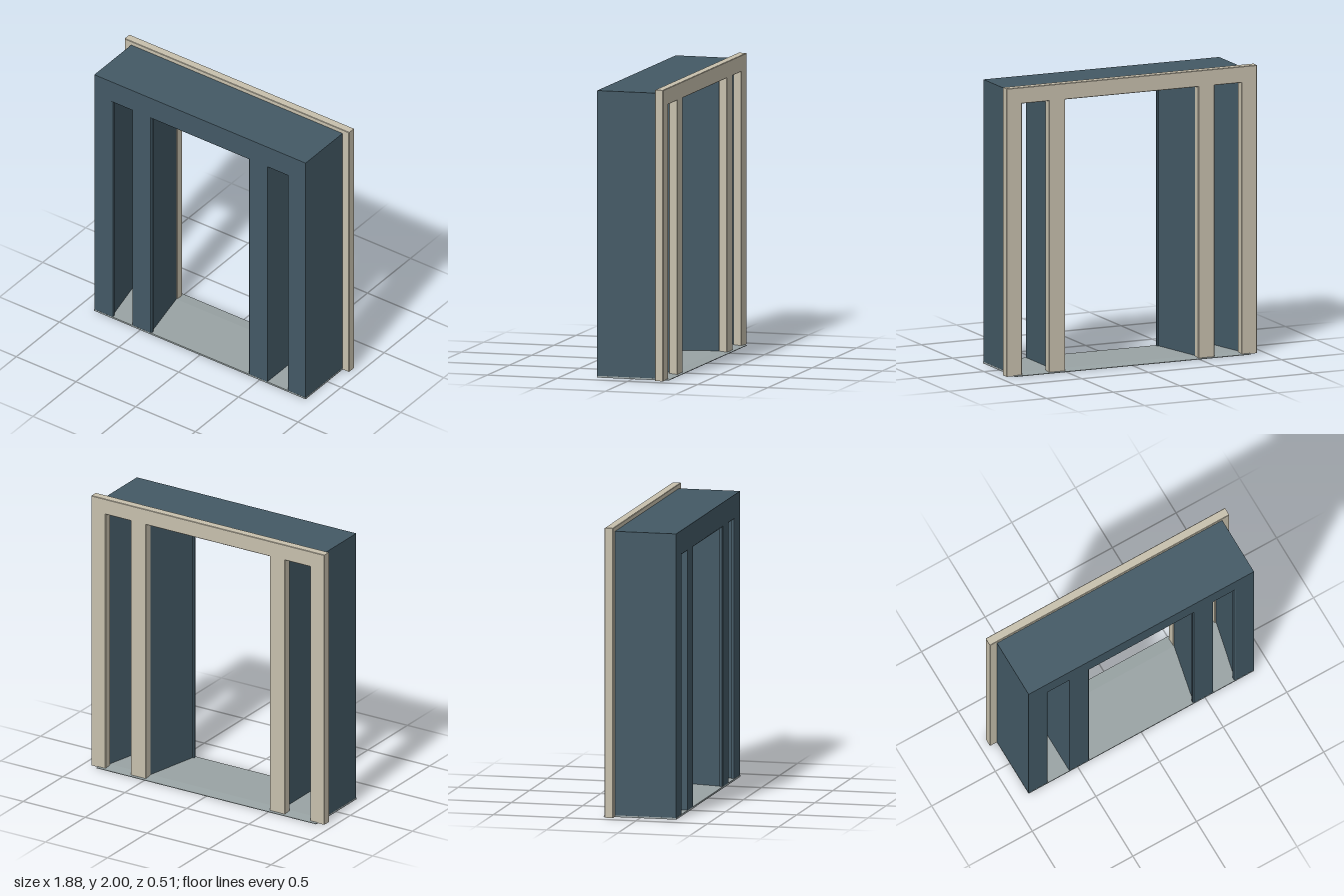
import * as THREE from 'three';

const blue = new THREE.MeshStandardMaterial({ name: 'slateBlue', color: 0x435965 });
const cream = new THREE.MeshStandardMaterial({ name: 'cream', color: 0xc7c0ad });
const grey = new THREE.MeshStandardMaterial({ name: 'floorGrey', color: 0x99a3a4 });

// Outline of a frame with a wide middle opening and two narrow side openings.
// w: half width, h: top, b: bottom, c: middle half width, p and q: side opening edges, t: opening top
function outline({ w, h, b, c, p, q, t }) {
  const half = [[c, t], [c, b], [p, b], [p, t], [q, t], [q, b], [w, b], [w, h]];
  const mirrored = half.map(([x, y]) => [-x, y]).reverse();
  return [...half, ...mirrored];
}

// Joins the outlines from front to back and closes both ends.
function loft(rings) {
  const pos = [];
  const lines = rings.map(outline);
  const n = lines[0].length;
  for (let r = 0; r < rings.length - 1; r++) {
    for (let i = 0; i < n; i++) {
      const j = (i + 1) % n;
      const a = [...lines[r][i], rings[r].z];
      const d = [...lines[r][j], rings[r].z];
      const k = [...lines[r + 1][i], rings[r + 1].z];
      const e = [...lines[r + 1][j], rings[r + 1].z];
      pos.push(...a, ...k, ...e, ...a, ...e, ...d);
    }
  }
  const cap = (r, flip) => {
    const pts = lines[r].map(([x, y]) => new THREE.Vector2(x, y));
    for (const f of THREE.ShapeUtils.triangulateShape(pts, [])) {
      const [i, j, k] = f.map((v) => pts[v]);
      const ccw = (j.x - i.x) * (k.y - i.y) - (j.y - i.y) * (k.x - i.x) > 0;
      const order = ccw !== flip ? [i, j, k] : [i, k, j];
      order.forEach((v) => pos.push(v.x, v.y, rings[r].z));
    }
  };
  cap(0, false);
  cap(rings.length - 1, true);
  const geo = new THREE.BufferGeometry();
  geo.setAttribute('position', new THREE.Float32BufferAttribute(pos, 3));
  geo.computeVertexNormals();
  return geo;
}

export function createModel() {
  const model = new THREE.Group();
  model.name = 'doorway';
  const add = (name, geo, mat) => {
    const mesh = new THREE.Mesh(geo, mat);
    mesh.name = name;
    model.add(mesh);
  };

  // Deep surround: a narrow lip around each opening, then straight splayed jambs and ceilings
  const body = { w: 0.885, h: 1.97, b: 0.011, p: 0.565 };
  add('surround', loft([
    { ...body, z: 0.253, c: 0.415, q: 0.744, t: 1.81 },
    { ...body, z: 0.247, c: 0.407, q: 0.732, t: 1.801 },
    { ...body, z: 0.228, c: 0.407, q: 0.732, t: 1.801 },
    { ...body, z: 0.226, c: 0.418, q: 0.745, t: 1.813 },
    { ...body, z: -0.18, c: 0.505, q: 0.838, t: 1.888 },
  ]), blue);

  // Trim frame with posts on the back, its edges slightly eased
  const e = 0.003;
  const full = { w: 0.94, h: 2, b: 0.002, c: 0.5, p: 0.622, q: 0.825, t: 1.888 };
  const inset = {
    w: full.w - e, h: full.h - e, b: full.b, c: full.c + e,
    p: full.p - e, q: full.q + e, t: full.t + e,
  };
  add('backTrim', loft([
    { ...inset, z: -0.176 },
    { ...full, z: -0.176 - e },
    { ...full, z: -0.235 + e },
    { ...inset, z: -0.235 },
  ]), cream);

  // Threshold plate, thinning out behind the trim
  const side = new THREE.Shape([[0.254, 0], [0.254, 0.012], [-0.17, 0.012], [-0.255, 0.004], [-0.255, 0]]
    .map(([z, y]) => new THREE.Vector2(-z, y)));
  const threshold = new THREE.ExtrudeGeometry(side, { depth: 1.772, bevelEnabled: false });
  threshold.translate(0, 0, -0.886).rotateY(Math.PI / 2);
  add('threshold', threshold, grey);
  return model;
}
